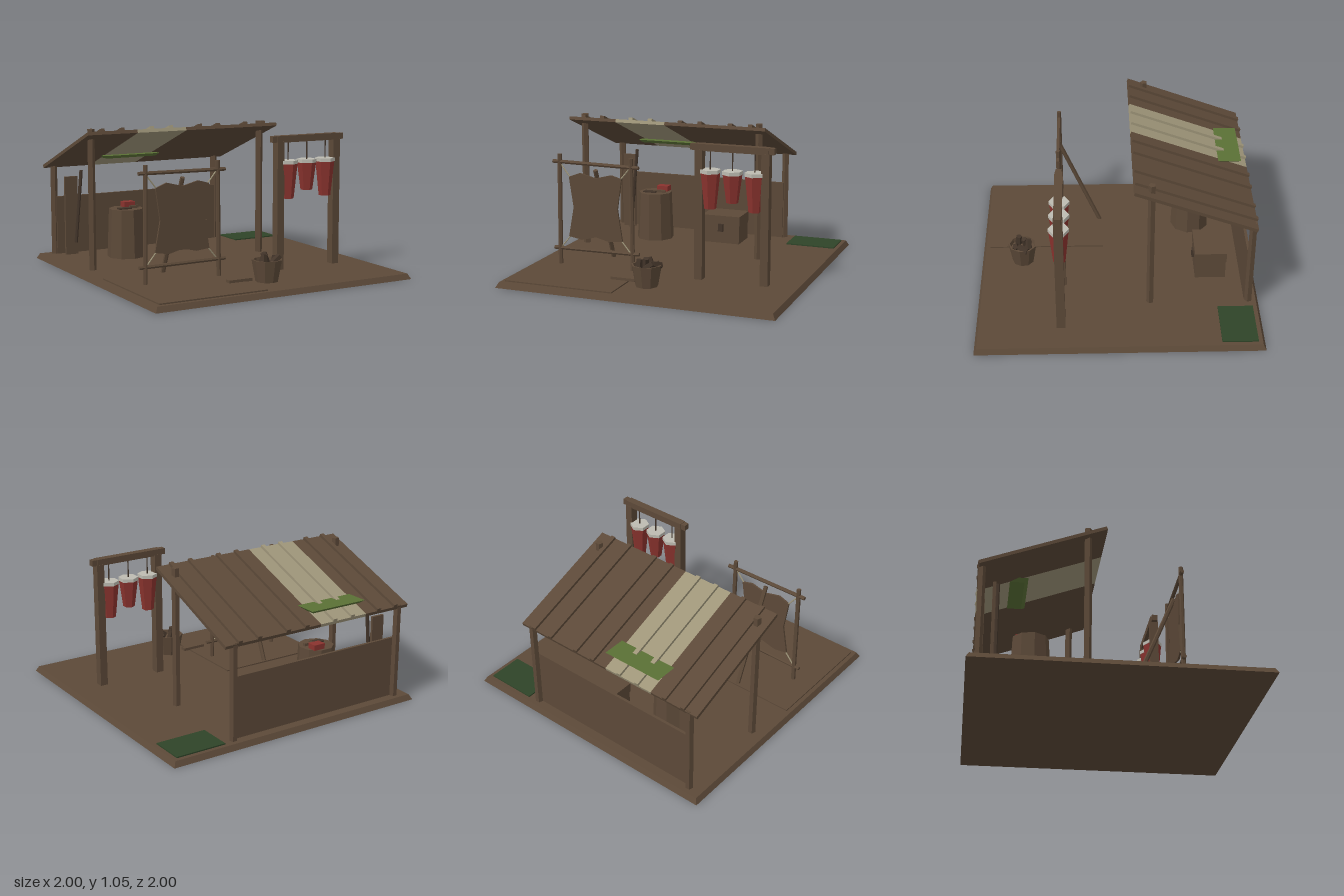
import * as THREE from 'three';

const mat = (name, color, extra = {}) => {
  const m = new THREE.MeshStandardMaterial({ color, ...extra });
  m.name = name;
  return m;
};

export function createModel() {
  const wood = mat('brown wood', 0x5c4938);
  const canvas = mat('pale canvas', 0x9e9579);
  const moss = mat('moss green', 0x5a7035);
  const grass = mat('dark grass', 0x2f4428);
  const meat = mat('raw red', 0x8a332e);
  const fat = mat('pale fat', 0xbdbbb1);
  const dark = mat('dark wood', 0x43352a);
  const model = new THREE.Group();
  model.name = 'butcherCamp';

  const add = (name, geo, material, parent = model) => {
    const g = geo.toNonIndexed();
    g.computeVertexNormals(); // flat facets
    const mesh = new THREE.Mesh(g, material);
    mesh.name = name;
    parent.add(mesh);
    return mesh;
  };
  // box given by its limits
  const box = (name, [x0, x1], [y0, y1], [z0, z1], material = wood, parent = model) => {
    const m = add(name, new THREE.BoxGeometry(x1 - x0, y1 - y0, z1 - z0), material, parent);
    m.position.set((x0 + x1) / 2, (y0 + y1) / 2, (z0 + z1) / 2);
    return m;
  };
  // box whose top is inset on all sides
  const taperedBox = (name, w, h, d, inset, material) => {
    const g = new THREE.BoxGeometry(w, h, d);
    const p = g.attributes.position;
    for (let i = 0; i < p.count; i++) {
      if (p.getY(i) > 0) {
        p.setX(i, p.getX(i) - Math.sign(p.getX(i)) * inset);
        p.setZ(i, p.getZ(i) - Math.sign(p.getZ(i)) * inset);
      }
    }
    return add(name, g, material);
  };
  // round pole between two points
  const pole = (name, a, b, r, material = wood, sides = 6, parent = model) => {
    const A = new THREE.Vector3(...a), B = new THREE.Vector3(...b);
    const dir = B.clone().sub(A);
    const m = add(name, new THREE.CylinderGeometry(r, r, dir.length(), sides), material, parent);
    m.position.copy(A).add(B).multiplyScalar(0.5);
    m.quaternion.setFromUnitVectors(new THREE.Vector3(0, 1, 0), dir.normalize());
    return m;
  };

  // ground
  taperedBox('ground', 2, 0.038, 2, 0.02, wood).position.y = 0.019;
  box('workPatch', [-0.95, -0.15], [0.038, 0.047], [0.1, 0.95]);
  box('grassPatch', [0.58, 0.95], [0.038, 0.047], [-0.95, -0.7], grass);

  // shelter posts and back wall
  for (const x of [-0.88, 0.5]) {
    pole('frontPost', [x, 0.03, -0.225], [x, 1.04, -0.225], 0.027, wood, 5);
    pole('backPost', [x, 0.03, -0.925], [x, 0.72, -0.925], 0.027, wood, 5);
  }
  box('backWall', [-0.87, 0.49], [0.036, 0.475], [-0.915, -0.895]);

  // sloping roof panels, each with two ribs
  const roof = new THREE.Group();
  roof.name = 'roof';
  roof.position.set(0, 0.862, -0.525);
  roof.rotation.x = -0.36;
  model.add(roof);
  const edges = [-0.953, -0.575, -0.188, 0.2, 0.578];
  for (let i = 0; i < 4; i++) {
    const m = i === 1 ? canvas : wood;
    box('roofPanel', [edges[i], edges[i + 1]], [-0.012, 0.012], [-0.45, 0.45], m, roof);
    const mid = (edges[i] + edges[i + 1]) / 2;
    for (const s of [-0.076, 0.076]) {
      box('roofRib', [mid + s - 0.016, mid + s + 0.016], [0.01, 0.031], [-0.45, 0.45], m, roof);
    }
  }
  taperedBox('roofMoss', 0.45, 0.022, 0.3, 0.025, moss).position.set(-0.375, 0.784, -0.752);
  model.getObjectByName('roofMoss').rotation.x = Math.PI; // wide face up

  // board and leaning handle by the wall
  box('wallBoard', [-0.83, -0.73], [0.036, 0.63], [-0.845, -0.825]);
  pole('toolHandle', [-0.755, 0.13, -0.81], [-0.705, 0.675, -0.81], 0.013, dark);

  // chopping block with meat and knife
  add('choppingBlock', new THREE.CylinderGeometry(0.128, 0.143, 0.365, 9), wood)
    .position.set(-0.45, 0.218, -0.57);
  box('meatCut', [-0.45, -0.36], [0.4, 0.44], [-0.67, -0.6], meat);
  box('knifeBlade', [-0.53, -0.43], [0.4, 0.41], [-0.56, -0.51], dark);
  box('knifeHandle', [-0.43, -0.36], [0.4, 0.42], [-0.56, -0.54]);

  // storage chest
  box('chestBody', [-0.05, 0.24], [0.036, 0.18], [-0.785, -0.565]);
  box('chestLid', [-0.055, 0.245], [0.18, 0.253], [-0.79, -0.56]);
  box('chestLatch', [0.075, 0.115], [0.13, 0.19], [-0.57, -0.547], dark);

  // hanging rack with three cuts
  for (const x of [0.275, 0.748]) box('rackPost', [x - 0.028, x + 0.028], [0.036, 0.95], [0.374, 0.436]);
  box('rackBeam', [0.25, 0.77], [0.943, 0.99], [0.377, 0.433]);
  box('rackBeamEnd', [0.213, 0.25], [0.945, 0.988], [0.383, 0.427]);
  box('rackBeamEnd', [0.77, 0.807], [0.945, 0.988], [0.383, 0.427]);
  [[0.352, 0.543], [0.51, 0.595], [0.668, 0.543]].forEach(([x, y]) => {
    pole('hangingCord', [x, 0.81, 0.405], [x, 0.945, 0.405], 0.005, dark, 5);
    add('hangingMeat', new THREE.CylinderGeometry(0.068, 0.042, 0.79 - y, 6), meat)
      .position.set(x, (0.79 + y) / 2, 0.405);
    add('fatCap', new THREE.CylinderGeometry(0.072, 0.072, 0.025, 6), fat)
      .position.set(x, 0.8025, 0.405);
  });

  // hide stretching frame
  const fz = 0.42;
  pole('framePost', [-0.785, 0.04, fz], [-0.777, 0.85, fz], 0.016);
  pole('framePost', [-0.22, 0.04, fz], [-0.23, 0.85, fz], 0.016);
  pole('frameBar', [-0.83, 0.795, fz], [-0.17, 0.787, fz], 0.014);
  pole('frameBar', [-0.83, 0.163, fz], [-0.17, 0.168, fz], 0.014);
  pole('frameProp', [-0.5, 0.75, 0.42], [-0.5, 0.04, 0.12], 0.016);
  const outline = [[-0.705, 0.69], [-0.62, 0.722], [-0.5, 0.692], [-0.38, 0.722], [-0.3, 0.7],
    [-0.332, 0.48], [-0.297, 0.25], [-0.4, 0.24], [-0.5, 0.265], [-0.61, 0.237], [-0.712, 0.255], [-0.672, 0.47]];
  const hide = new THREE.Shape(outline.map(([x, y]) => new THREE.Vector2(x, y)));
  add('stretchedHide', new THREE.ExtrudeGeometry(hide, { depth: 0.014, bevelEnabled: false }), wood)
    .position.z = fz - 0.007;
  for (const [x, y, X, Y] of [[-0.7, 0.69, -0.775, 0.785], [-0.305, 0.7, -0.235, 0.785],
    [-0.7, 0.26, -0.775, 0.17], [-0.305, 0.255, -0.235, 0.17]]) {
    pole('lashing', [x, y, fz], [X, Y, fz], 0.005, canvas, 5);
  }

  // bucket of scraps and a plank beside it
  const bucket = new THREE.LatheGeometry(
    [[0.001, 0], [0.078, 0], [0.106, 0.152], [0.094, 0.152], [0.088, 0.12], [0.001, 0.12]]
      .map(([x, y]) => new THREE.Vector2(x, y)), 9);
  add('bucket', bucket, wood).position.set(0, 0.037, 0.695);
  [[0.01, 0.65], [0.07, 0.69], [-0.045, 0.725], [0.04, 0.745], [-0.015, 0.675]].forEach(([x, z], i) => {
    const s = add('scrap', new THREE.CylinderGeometry(0.022, 0.028, 0.075, 5), dark);
    s.position.set(x, 0.19, z);
    s.rotation.set(0.5 * Math.sin(i * 2), i, i % 2 ? 0.9 : 0.3);
  });
  box('plank', [-0.28, -0.1], [0.045, 0.066], [0.625, 0.67]);

  return model;
}
